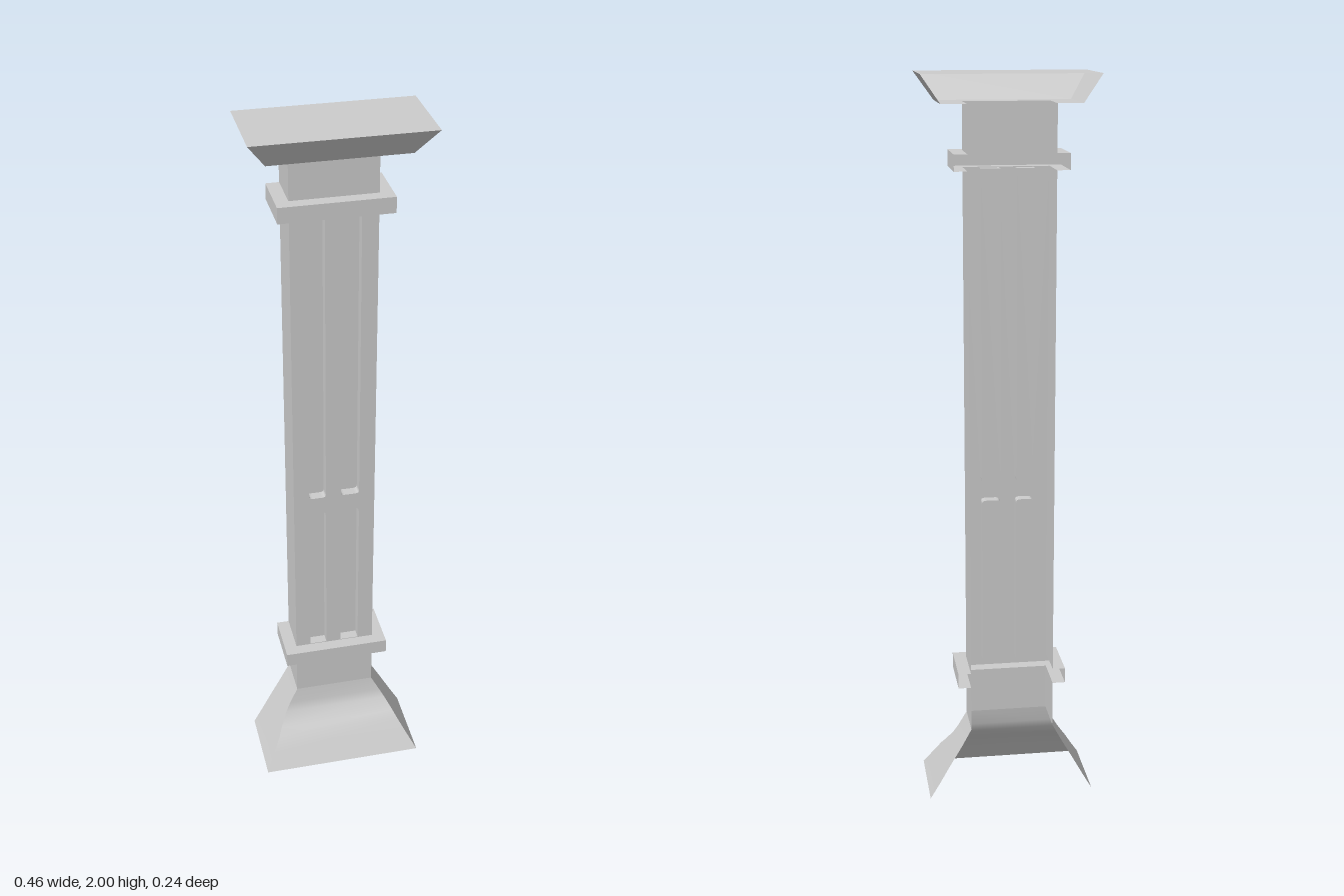
import * as THREE from 'three';

const stone = new THREE.MeshStandardMaterial({ color: 0xcccccc, side: THREE.DoubleSide });
stone.name = 'pale grey stone';

const BACK = -0.118, HALF = 0.115, DEPTH = 0.028;

function surface(points, index) {
  const g = new THREE.BufferGeometry();
  g.setAttribute('position', new THREE.Float32BufferAttribute(points, 3));
  g.setIndex(index);
  return g;
}

// Three-sided shell, open at the back, through levels [y, halfWidth, frontZ, backZ]
function shell(name, levels, { smooth = false, front = true } = {}) {
  const group = new THREE.Group();
  group.name = name;
  for (let side = 0; side < 3; side++) {
    if (side === 1 && !front) continue;
    const points = [], index = [];
    levels.forEach(([y, w, f, b = BACK], i) => {
      const ring = [[-w, b], [-w, f], [w, f], [w, b]];
      for (const [x, z] of [ring[side], ring[side + 1]]) points.push(x, y, z);
      const k = i * 2;
      if (i < levels.length - 1) index.push(k, k + 1, k + 3, k, k + 3, k + 2);
    });
    let g = surface(points, index);
    if (!smooth) g = g.toNonIndexed();
    g.computeVertexNormals();
    const mesh = new THREE.Mesh(g, stone);
    mesh.name = name + ['RightSide', 'Front', 'LeftSide'][side];
    group.add(mesh);
  }
  return group;
}

// Flute outline, counter-clockwise, with rounded corners at one end
function fluteShape(x0, x1, y0, y1, roundTop) {
  const r = 0.01, s = new THREE.Shape();
  if (roundTop) {
    s.moveTo(x0, y0).lineTo(x1, y0).lineTo(x1, y1 - r);
    s.quadraticCurveTo(x1, y1, x1 - r, y1).lineTo(x0 + r, y1);
    s.quadraticCurveTo(x0, y1, x0, y1 - r);
  } else {
    s.moveTo(x0, y1).lineTo(x0, y0 + r);
    s.quadraticCurveTo(x0, y0, x0 + r, y0).lineTo(x1 - r, y0);
    s.quadraticCurveTo(x1, y0, x1, y0 + r).lineTo(x1, y1);
  }
  s.closePath();
  return s;
}

// Recess behind a flute opening: floor and surrounding walls
function flute(shape) {
  const group = new THREE.Group();
  group.name = 'flute';
  const floor = new THREE.Mesh(new THREE.ShapeGeometry(shape, 4), stone);
  floor.name = 'fluteFloor';
  floor.position.z = -DEPTH;
  const pts = shape.getPoints(4), pos = [], index = [];
  pts.forEach((p, i) => {
    const q = pts[(i + 1) % pts.length], k = i * 4;
    if (p.distanceTo(q) < 1e-6) return;
    const n = pos.length / 3;
    pos.push(p.x, p.y, 0, q.x, q.y, 0, q.x, q.y, -DEPTH, p.x, p.y, -DEPTH);
    index.push(n, n + 1, n + 2, n, n + 2, n + 3);
  });
  const g = surface(pos, index);
  g.computeVertexNormals();
  const walls = new THREE.Mesh(g, stone);
  walls.name = 'fluteWalls';
  group.add(floor, walls);
  return group;
}

export function createModel() {
  const model = new THREE.Group();
  model.name = 'halfColumn';

  // Flared foot
  model.add(shell('base', [
    [0, 0.232, 0.118, -0.112], [0.045, 0.206, 0.088, -0.114], [0.085, 0.184, 0.062, -0.115],
    [0.105, 0.173, 0.043, -0.116], [0.14, 0.153, 0.016, -0.117], [0.165, 0.139, 0.007], [0.21, HALF, 0],
  ], { smooth: true }));

  // Plain necks below and above the bands
  model.add(shell('lowerNeck', [[0.21, HALF, 0], [0.338, HALF, 0]]));
  model.add(shell('upperNeck', [[1.803, HALF, 0], [1.927, HALF, 0]]));

  // Projecting hollow bands
  for (const [name, y0, y1] of [['lowerBand', 0.338, 0.38], ['upperBand', 1.76, 1.803]]) {
    model.add(shell(name, [[y0, HALF, 0], [y0, 0.15, 0.034], [y1, 0.15, 0.034], [y1, HALF, 0]]));
  }

  // Shaft sides, pierced front and recessed flutes
  model.add(shell('shaft', [[0.38, HALF, 0], [1.76, HALF, 0]], { front: false }));
  const face = new THREE.Shape([[-HALF, 0.38], [HALF, 0.38], [HALF, 1.76], [-HALF, 1.76]]
    .map(([x, y]) => new THREE.Vector2(x, y)));
  for (const [x0, x1] of [[-0.072, -0.024], [0.019, 0.071]]) {
    for (const [y0, y1, roundTop] of [[0.382, 0.854, true], [0.905, 1.758, false]]) {
      const s = fluteShape(x0, x1, y0, y1, roundTop);
      face.holes.push(s);
      model.add(flute(s));
    }
  }
  const front = new THREE.Mesh(new THREE.ShapeGeometry(face, 4), stone);
  front.name = 'shaftFront';
  model.add(front);

  // Capital with sloping sides and a flat lid
  model.add(shell('capital', [[1.927, HALF, 0], [1.927, 0.182, 0.066], [2, 0.232, 0.118, -0.114]]));
  const lid = new THREE.Mesh(new THREE.PlaneGeometry(0.464, 0.232).rotateX(-Math.PI / 2), stone);
  lid.name = 'capitalLid';
  lid.position.set(0, 2, 0.002);
  model.add(lid);

  return model;
}
